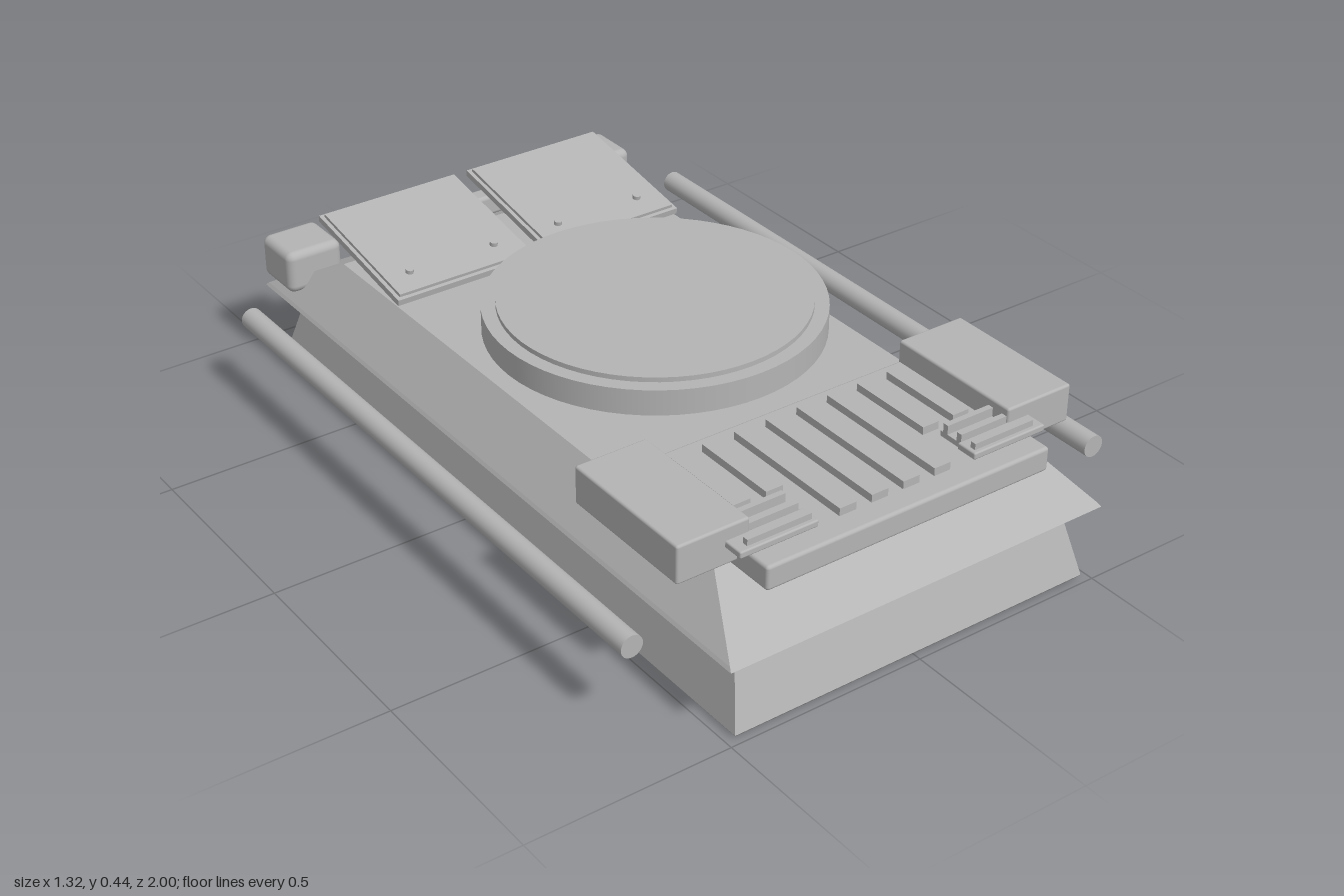
import * as THREE from 'three';
import { RoundedBoxGeometry } from 'three/addons/geometries/RoundedBoxGeometry.js';

const grey = new THREE.MeshStandardMaterial({ color: 0xb4b4b4 });
grey.name = 'plain grey';

// Closed solid through rectangular sections [y, halfWidth, zBack, zFront]
function loft(sections) {
  const pos = [], idx = [];
  for (const [y, x, zb, zf] of sections) pos.push(-x, y, zf, x, y, zf, x, y, zb, -x, y, zb);
  const top = (sections.length - 1) * 4;
  for (let s = 0; s < top; s += 4) {
    for (let i = 0; i < 4; i++) {
      const a = s + i, b = s + (i + 1) % 4;
      idx.push(a, b, b + 4, a, b + 4, a + 4);
    }
  }
  idx.push(0, 2, 1, 0, 3, 2, top, top + 1, top + 2, top, top + 2, top + 3);
  const g = new THREE.BufferGeometry();
  g.setAttribute('position', new THREE.Float32BufferAttribute(pos, 3));
  g.setIndex(idx);
  const flat = g.toNonIndexed();
  flat.computeVertexNormals();
  return flat;
}

export function createModel() {
  const model = new THREE.Group();
  model.name = 'armouredHull';

  function add(parent, name, geometry, x = 0, y = 0, z = 0) {
    const mesh = new THREE.Mesh(geometry, grey);
    mesh.name = name;
    mesh.position.set(x, y, z);
    parent.add(mesh);
    return mesh;
  }
  // Box given by its limits, optionally with rounded edges
  function box(parent, name, [x0, x1], [y0, y1], [z0, z1], r = 0) {
    const size = [x1 - x0, y1 - y0, z1 - z0];
    const g = r ? new RoundedBoxGeometry(...size, 3, r) : new THREE.BoxGeometry(...size);
    return add(parent, name, g, (x0 + x1) / 2, (y0 + y1) / 2, (z0 + z1) / 2);
  }
  const span = (s, a, b) => (s > 0 ? [a, b] : [-b, -a]);

  // Hull
  add(model, 'lowerHull', loft([
    [0, 0.472, -0.887, 0.977], [0.01, 0.479, -0.895, 0.985], [0.2, 0.44, -0.83, 0.925],
  ]));
  add(model, 'upperHull', loft([
    [0.19, 0.505, -0.932, 1.0], [0.198, 0.5, -0.925, 0.99], [0.32, 0.405, -0.7, 0.8],
  ]));

  // Turret ring with a stepped lid
  const ring = [[0, 0.366], [0.4, 0.366], [0.4, 0.43], [0.366, 0.43], [0.366, 0.442], [0, 0.442]];
  const profile = [];
  ring.forEach(([r, y], i) => {
    profile.push(new THREE.Vector2(r, y));
    if (i > 0 && i < ring.length - 1) profile.push(new THREE.Vector2(r, y)); // crisp corner
  });
  add(model, 'turretRing', new THREE.LatheGeometry(profile, 64), 0, 0, 0.037);

  // Front deck with slats
  box(model, 'frontDeck', [-0.38, 0.38], [0.305, 0.365], [0.49, 0.95], 0.008);
  for (let i = 0; i < 8; i++) {
    const x = (i - 3.5) * 0.085;
    const end = Math.abs(x) > 0.2 ? 0.757 : 0.892;
    box(model, 'deckSlat', [x - 0.022, x + 0.022], [0.36, 0.384], [0.535, end]);
  }

  // Rear cross beam
  box(model, 'rearBeam', [-0.32, 0.32], [0.3, 0.355], [-0.79, -0.74], 0.01);

  for (const s of [1, -1]) {
    // Front stowage box with a small plate behind it
    box(model, 'frontBox', span(s, 0.348, 0.53), [0.325, 0.419], [0.49, 0.85], 0.006);
    box(model, 'frontBoxLatch', span(s, 0.407, 0.465), [0.35, 0.39], [0.476, 0.492], 0.005);

    // Louvre plate with raised bars
    box(model, 'louvrePlate', span(s, 0.21, 0.41), [0.368, 0.385], [0.845, 0.9], 0.004);
    box(model, 'louvreBase', span(s, 0.22, 0.36), [0.36, 0.378], [0.78, 0.85]);
    for (const z of [0.795, 0.838, 0.882]) {
      box(model, 'louvreBar', span(s, 0.22, 0.385), [0.375, 0.4], [z - 0.007, z + 0.007]);
    }

    // Rear corner box with a panel on its back
    box(model, 'rearCornerBox', span(s, 0.36, 0.51), [0.225, 0.335], [-0.928, -0.787], 0.02);
    box(model, 'rearLampPanel', span(s, 0.39, 0.485), [0.258, 0.305], [-0.936, -0.92], 0.006);

    // Tow hitch block and ring
    box(model, 'towBlock', span(s, 0.258, 0.354), [0.073, 0.162], [-0.965, -0.87], 0.01);
    add(model, 'towRing', new THREE.TorusGeometry(0.041, 0.012, 12, 32), s * 0.306, 0.118, -0.988);
    const pin = add(model, 'towPin', new THREE.CylinderGeometry(0.022, 0.022, 0.03, 24),
      s * 0.306, 0.118, -0.97);
    pin.rotation.x = Math.PI / 2;

    // Side rod
    const rod = add(model, 'sideRod', new THREE.CylinderGeometry(0.027, 0.027, 1.605, 32),
      s * 0.632, 0.214, 0.038);
    rod.rotation.x = Math.PI / 2;

    // Tilted engine cover with an inset top plate and two bolts
    const cover = new THREE.Group();
    cover.name = 'engineCover';
    cover.position.set(s * 0.213, 0.37, -0.622);
    cover.rotation.x = 0.175;
    model.add(cover);
    box(cover, 'coverPlate', [-0.194, 0.194], [-0.012, 0.004], [-0.19, 0.19]);
    box(cover, 'coverTop', [-0.184, 0.184], [0.003, 0.012], [-0.18, 0.18]);
    for (const x of [-0.119, 0.119]) {
      add(cover, 'coverBolt', new THREE.CylinderGeometry(0.01, 0.01, 0.014, 16), x, 0.015, 0.115);
    }
  }
  return model;
}
